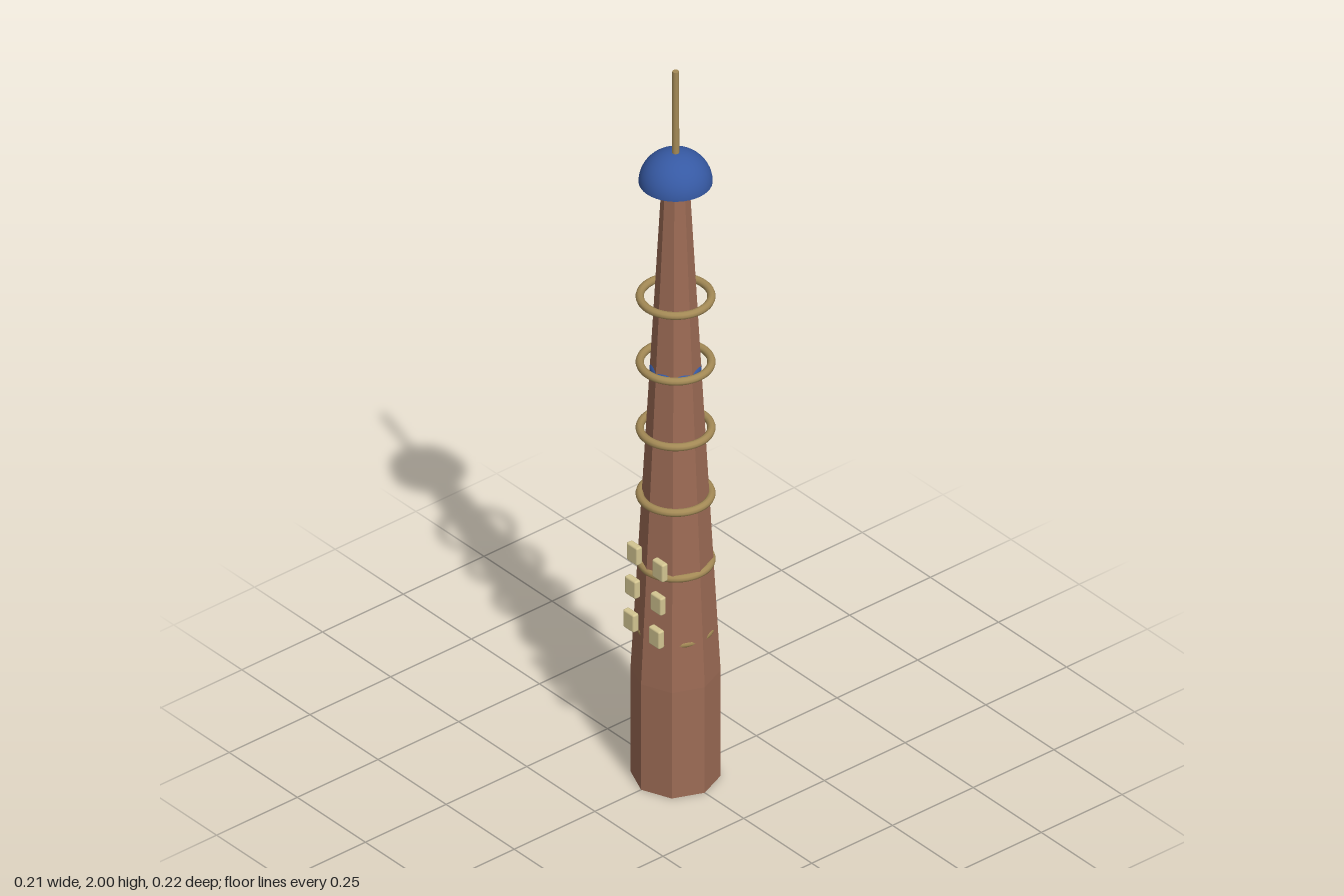
import * as THREE from 'three';
import { RoundedBoxGeometry } from 'three/addons/geometries/RoundedBoxGeometry.js';

const material = (name, color, flatShading = false) => {
  const m = new THREE.MeshStandardMaterial({ color, flatShading });
  m.name = name;
  return m;
};

export function createModel() {
  const brick = material('brick brown', 0x9c6b55, true);
  const gold = material('antique gold', 0xa48a56);
  const blue = material('dome blue', 0x3659a3);
  const cream = material('window cream', 0xd3c591);

  const tower = new THREE.Group();
  tower.name = 'tower';
  const add = (name, geometry, mat, x, y, z) => {
    const mesh = new THREE.Mesh(geometry, mat);
    mesh.name = name;
    mesh.position.set(x, y, z);
    tower.add(mesh);
    return mesh;
  };

  // Octagonal base and tapering shaft
  const baseTop = 0.3, shaftTop = 1.69;
  add('base', new THREE.CylinderGeometry(0.107, 0.107, baseTop, 8), brick, 0, baseTop / 2, 0);
  add('shaft', new THREE.CylinderGeometry(0.033, 0.107, shaftTop - baseTop, 8), brick,
    0, (baseTop + shaftTop) / 2, 0);

  // Evenly spaced rings; the lowest only just breaks through the walls
  const ringGeometry = new THREE.TorusGeometry(0.085, 0.01, 10, 48).rotateX(Math.PI / 2);
  for (let i = 0; i < 6; i++) add('ring', ringGeometry, gold, 0, 0.425 + i * 0.187, 0);

  // Narrow blue collar showing on the wall faces
  add('collar', new THREE.TorusGeometry(0.047, 0.015, 12, 48).rotateX(Math.PI / 2), blue, 0, 1.157, 0);

  // Dome with a flat underside
  const dome = add('dome', new THREE.SphereGeometry(0.088, 40, 14, 0, Math.PI * 2, 0, Math.PI / 2),
    blue, 0, 1.687, 0);
  dome.scale.y = 0.94;
  add('domeUnderside', new THREE.CircleGeometry(0.088, 40).rotateX(Math.PI / 2), blue, 0, 1.687, 0);

  // Spire
  add('spire', new THREE.CylinderGeometry(0.008, 0.009, 0.25, 10), gold, 0, 1.875, 0);

  // Two columns of windows on the front, stepping back with the taper
  const windowGeometry = new RoundedBoxGeometry(0.04, 0.05, 0.018, 2, 0.005);
  for (const side of [-1, 1]) {
    for (let row = 0; row < 3; row++) {
      add('window', windowGeometry, cream, side * 0.047, 0.456 + row * 0.093, 0.099 - row * 0.0055);
    }
  }
  return tower;
}
